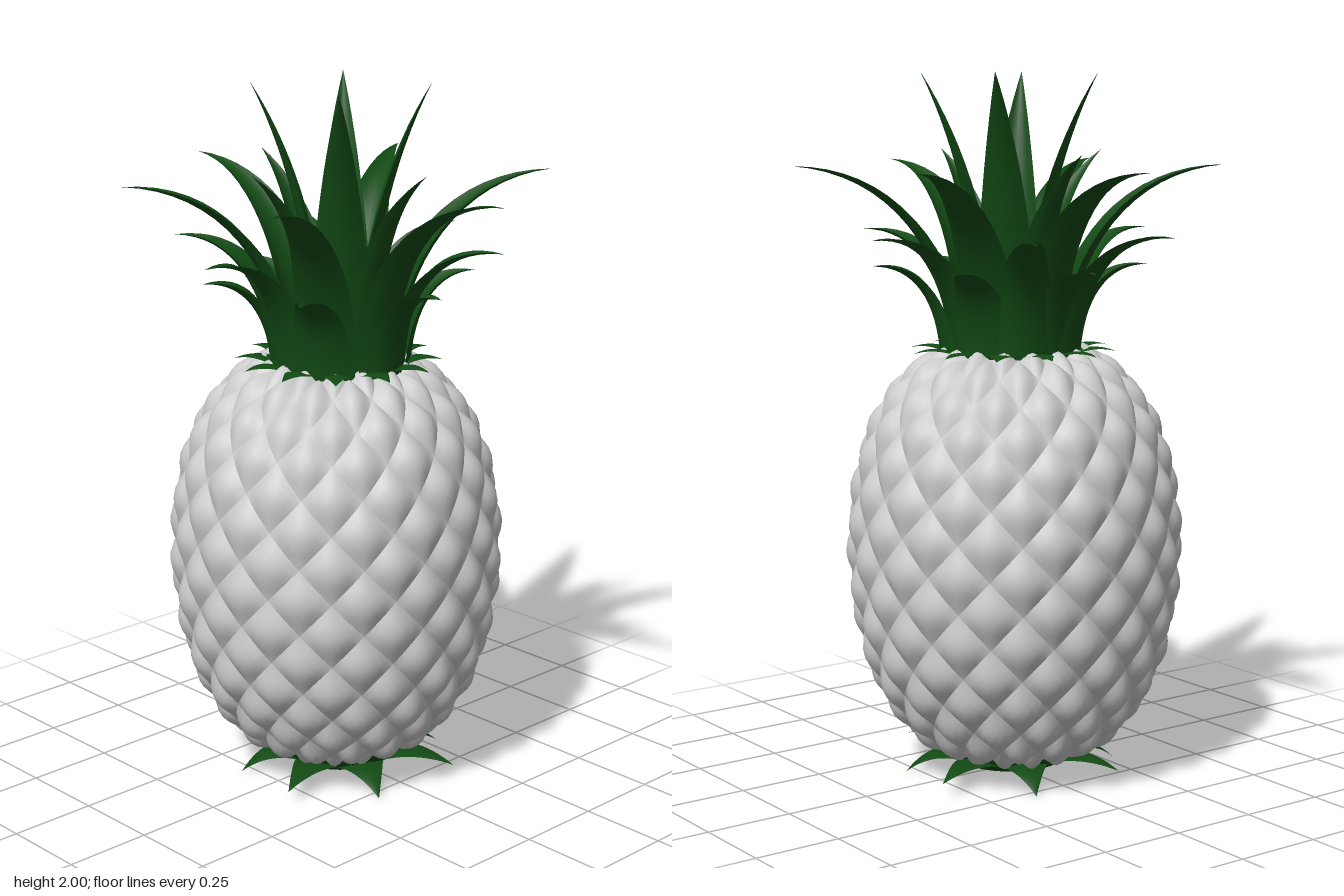
import * as THREE from 'three';
import { mergeGeometries } from 'three/addons/utils/BufferGeometryUtils.js';

const skin = new THREE.MeshStandardMaterial({ color: 0xcccccc });
const green = new THREE.MeshStandardMaterial({ color: 0x124a14, side: THREE.DoubleSide });
const v2 = (p) => new THREE.Vector2(p[0], p[1]);

// Fruit outline as [radius, height], bottom to top
const outline = new THREE.SplineCurve([
  [0.19, 0.075], [0.26, 0.11], [0.34, 0.2], [0.405, 0.33], [0.445, 0.5], [0.458, 0.68],
  [0.442, 0.85], [0.4, 1.0], [0.335, 1.11], [0.25, 1.19], [0.19, 1.215],
].map(v2));

// One puffed diamond of the skin, centred on an angle and a share of the outline
function diamond(angle, share, columns, rows) {
  const geo = new THREE.PlaneGeometry(1, 1, 6, 6);
  const pos = geo.attributes.position;
  for (let i = 0; i < pos.count; i++) {
    const a = pos.getX(i), b = pos.getY(i);
    const s = THREE.MathUtils.clamp(share + (a + b) / rows, 0, 1);
    const theta = angle + (a - b) * Math.PI / columns;
    const p = outline.getPointAt(s), t = outline.getTangentAt(s);
    const bump = 0.024 * (1 - 4 * a * a) * (1 - 4 * b * b);
    const r = p.x + t.y * bump;
    pos.setXYZ(i, r * Math.sin(theta), p.y - t.x * bump, r * Math.cos(theta));
  }
  geo.computeVertexNormals();
  return geo;
}

function createFruit() {
  const fruit = new THREE.Group();
  fruit.name = 'fruit';
  const columns = 16, rows = 14, parts = [];
  for (let j = 0; j <= rows; j++) {
    for (let i = 0; i < columns; i++) {
      parts.push(diamond((i + (j % 2) / 2) * 2 * Math.PI / columns, j / rows, columns, rows));
    }
  }
  const peel = new THREE.Mesh(mergeGeometries(parts), skin);
  peel.name = 'diamondSkin';
  fruit.add(peel);
  // Flat ends
  for (const [name, y, turn] of [['topCap', 1.215, -1], ['bottomCap', 0.075, 1]]) {
    const cap = new THREE.Mesh(new THREE.CircleGeometry(0.2, 32), skin);
    cap.rotation.x = turn * Math.PI / 2;
    cap.position.y = y;
    cap.name = name;
    fruit.add(cap);
  }
  fruit.position.z = -0.02;
  return fruit;
}

// Tapered, curled leaf that follows a curve of four [radius, height] points
function leafGeometry(points, width, curl, taper = 1.7) {
  const curve = new THREE.CubicBezierCurve(...points.map(v2));
  const geo = new THREE.PlaneGeometry(2, 1, 6, 16);
  const pos = geo.attributes.position;
  for (let i = 0; i < pos.count; i++) {
    const u = pos.getX(i), t = pos.getY(i) + 0.5;
    const p = curve.getPoint(t), d = curve.getTangent(t);
    const half = width / 2 * (1 - Math.pow(t, taper));
    const lift = curl * half * u * u;
    pos.setXYZ(i, p.x - d.y * lift, p.y + d.x * lift, -half * u);
  }
  geo.computeVertexNormals();
  return geo;
}

// Ring of equal leaves at the given angles in degrees
function leafRing(name, geo, angles, x = 0, z = 0) {
  const ring = new THREE.Group();
  ring.name = name;
  for (const a of angles) {
    const leaf = new THREE.Mesh(geo, green);
    leaf.name = 'leaf';
    leaf.rotation.y = THREE.MathUtils.degToRad(a);
    ring.add(leaf);
  }
  ring.position.set(x, 0, z);
  return ring;
}

const spread = (n, start) => Array.from({ length: n }, (_, i) => start + i * 360 / n);

function createCrown() {
  const crown = new THREE.Group();
  crown.name = 'crown';
  crown.add(
    leafRing('shortLeaves', leafGeometry([[0.2, 1.21], [0.21, 1.36], [0.27, 1.46], [0.39, 1.46]], 0.18, 0.4), spread(6, 30)),
    leafRing('middleLeaves', leafGeometry([[0.19, 1.21], [0.2, 1.4], [0.29, 1.56], [0.48, 1.55]], 0.18, 0.4), spread(6, 0).slice(0, 6).filter((a) => a !== 240), 0, -0.02),
    leafRing('longLeaves', leafGeometry([[0.16, 1.21], [0.18, 1.5], [0.34, 1.72], [0.61, 1.74]], 0.18, 0.4), spread(6, 30)),
    leafRing('innerLeaves', leafGeometry([[0.11, 1.21], [0.11, 1.45], [0.18, 1.66], [0.33, 1.78]], 0.15, 0.4), [90, 180, 270], 0.02, -0.02),
    leafRing('tallLeaves', leafGeometry([[0.08, 1.21], [0.08, 1.5], [0.14, 1.78], [0.25, 2.0]], 0.18, 0.4), spread(4, 45), 0.02, -0.02),
    // Small pointed collar under the crown
    leafRing('collar', leafGeometry([[0.17, 1.22], [0.21, 1.235], [0.25, 1.24], [0.295, 1.222]], 0.11, -0.15, 1.2), spread(12, 15), 0, -0.01),
  );
  return crown;
}

function createBase() {
  const base = new THREE.Group();
  base.name = 'base';
  const profile = [[0.11, 0.07], [0.12, 0.035], [0.155, 0.028], [0.18, 0.05], [0.2, 0.08]].map(v2);
  const stump = new THREE.Mesh(new THREE.LatheGeometry(profile, 32), green);
  stump.name = 'stumpRing';
  base.add(
    stump,
    leafRing('spreadLeaves', leafGeometry([[0.14, 0.05], [0.2, 0.075], [0.28, 0.075], [0.36, 0.04]], 0.15, -0.15, 1.2), spread(4, 22)),
    leafRing('droopingLeaves', leafGeometry([[0.14, 0.05], [0.2, 0.07], [0.26, 0.055], [0.31, 0.002]], 0.15, -0.15, 1.2), spread(4, 67)),
  );
  return base;
}

export function createModel() {
  const model = new THREE.Group();
  model.name = 'pineapple';
  model.add(createFruit(), createCrown(), createBase());
  return model;
}
